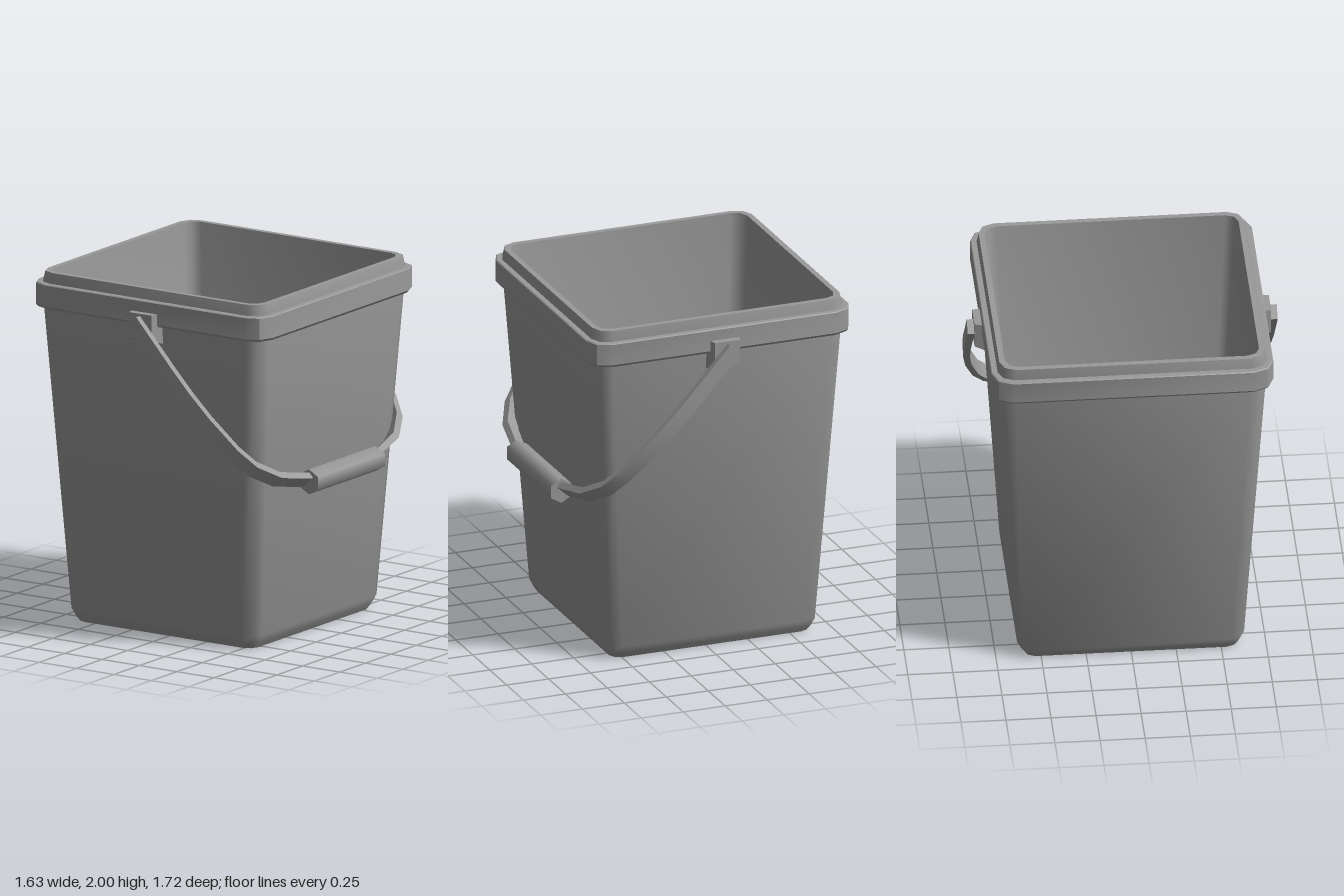
import * as THREE from 'three';
import { toCreasedNormals } from 'three/addons/utils/BufferGeometryUtils.js';

const CX = -0.037; // bucket axis
const material = new THREE.MeshStandardMaterial({ color: 0x9a9a9a });

function add(parent, name, geometry) {
  const mesh = new THREE.Mesh(geometry, material);
  mesh.name = name;
  parent.add(mesh);
  return mesh;
}

// Square cross-section with rounded corners, in the xz plane
function roundedSquare(half, radius, segments) {
  const points = [];
  for (let q = 0; q < 4; q++) {
    const mid = Math.PI / 4 + q * Math.PI / 2;
    const cx = Math.sign(Math.cos(mid)) * (half - radius);
    const cz = Math.sign(Math.sin(mid)) * (half - radius);
    for (let s = 0; s <= segments; s++) {
      const a = (q + s / segments) * Math.PI / 2;
      points.push([cx + radius * Math.cos(a), cz + radius * Math.sin(a)]);
    }
  }
  return points;
}

// Skin a list of [half width, corner radius, height] sections
function squareLoft(profile, crease) {
  const positions = [], index = [];
  const segments = 2, n = 4 * (segments + 1);
  profile.forEach(([half, radius, y], i) => {
    for (const [x, z] of roundedSquare(half, radius, segments)) positions.push(x, y, z);
    if (i === 0) return;
    for (let j = 0; j < n; j++) {
      const a = (i - 1) * n + j, b = (i - 1) * n + (j + 1) % n;
      index.push(a, a + n, b, b, a + n, b + n);
    }
  });
  const geometry = new THREE.BufferGeometry();
  geometry.setAttribute('position', new THREE.Float32BufferAttribute(positions, 3));
  geometry.setIndex(index);
  return toCreasedNormals(geometry, crease);
}

export function createModel() {
  const model = new THREE.Group();
  model.name = 'bucket';

  // Tapered body: underside, outer wall, lip, inner wall, floor
  const body = add(model, 'body', squareLoft([
    [0, 0, 0], [0.59, 0.06, 0], [0.61, 0.07, 0.032], [0.63, 0.08, 0.075],
    [0.745, 0.09, 1.85], [0.747, 0.09, 1.94], [0.737, 0.09, 2], [0.705, 0.07, 2],
    [0.605, 0.06, 0.085], [0.592, 0.055, 0.05], [0, 0, 0.05],
  ], 0.87));
  body.position.x = CX;

  // Thick band around the top, with crisp corners
  const rim = add(model, 'rim', squareLoft([
    [0.73, 0.09, 1.8], [0.77, 0.11, 1.8], [0.782, 0.115, 1.815],
    [0.782, 0.115, 1.935], [0.777, 0.115, 1.94], [0.73, 0.09, 1.94],
  ], 0.6));
  rim.position.x = CX;

  // Handle brackets: boxes narrowing outwards, with a sloped underside
  for (const side of [1, -1]) {
    const bracket = new THREE.BoxGeometry(1, 1, 1);
    const p = bracket.attributes.position;
    for (let i = 0; i < p.count; i++) {
      const outer = p.getZ(i) * side > 0;
      p.setXYZ(i,
        CX + Math.sign(p.getX(i)) * (outer ? 0.075 : 0.1),
        p.getY(i) > 0 ? 1.875 : outer ? 1.73 : 1.69,
        side * (outer ? 0.823 : 0.71));
    }
    bracket.computeVertexNormals();
    add(model, side > 0 ? 'frontBracket' : 'backBracket', bracket);
  }

  // Handle: flat strip bent into a bail; [half span, distance from the free ends]
  const outerEdge = [[0.86, 0], [0.86, 0.35], [0.854, 0.52], [0.832, 0.7], [0.778, 0.93],
    [0.712, 1.062], [0.57, 1.168], [0.34, 1.225]];
  const innerEdge = [[0.823, 0], [0.823, 0.35], [0.817, 0.52], [0.797, 0.69], [0.746, 0.91],
    [0.69, 1.025], [0.555, 1.13], [0.335, 1.188]];
  const across = (edge) => [
    ...edge.map(([w, t]) => new THREE.Vector2(w, -t)),
    ...edge.map(([w, t]) => new THREE.Vector2(-w, -t)).reverse(),
  ];
  const strip = new THREE.ExtrudeGeometry(
    new THREE.Shape([...across(outerEdge), ...across(innerEdge).reverse()]),
    { depth: 0.085, bevelEnabled: false });
  strip.translate(0, 0, -0.0425);
  const up = new THREE.Vector3(-0.67, 0.742, 0).normalize();
  const span = new THREE.Vector3(0, 0, 1);
  strip.applyMatrix4(new THREE.Matrix4()
    .makeBasis(span, up, new THREE.Vector3().crossVectors(span, up))
    .setPosition(-0.07, 1.835, 0));
  add(model, 'handle', toCreasedNormals(strip, 0.6));

  // Six-sided hand grip
  const grip = add(model, 'grip', new THREE.CylinderGeometry(0.071, 0.071, 0.655, 6));
  grip.rotation.x = Math.PI / 2;
  grip.position.set(0.754, 0.928, 0);

  return model;
}
